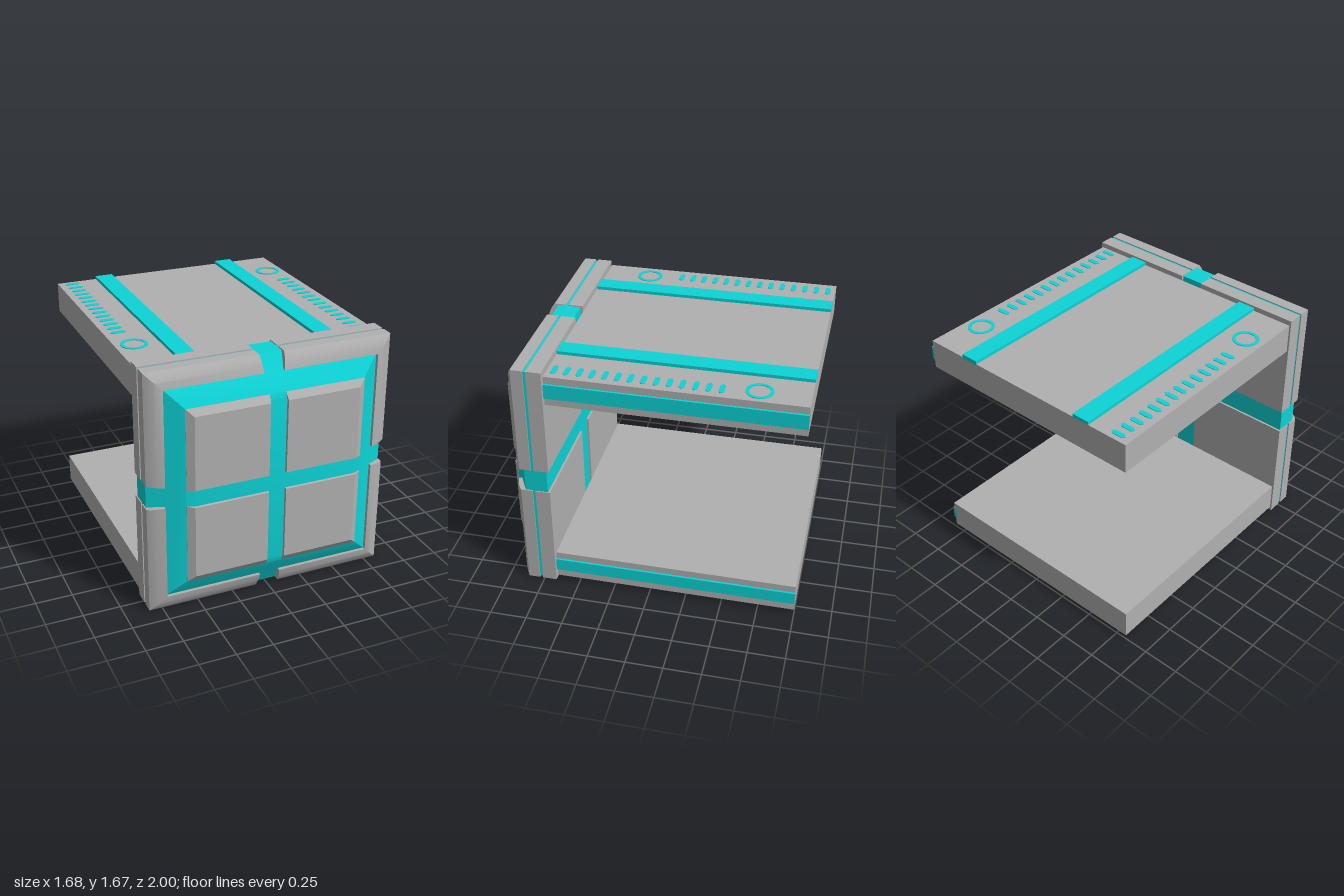
import * as THREE from 'three';
import { toCreasedNormals } from 'three/addons/utils/BufferGeometryUtils.js';

const grey = new THREE.MeshStandardMaterial({ color: 0xb0b0b0 });
grey.name = 'grey';
const cyan = new THREE.MeshStandardMaterial({ color: 0x0dd3d6 });
cyan.name = 'cyan';

const MID = 0.8425;   // height of the panel centre
const HALF = 0.8375;  // half width of the panel

function add(parent, name, geometry, material) {
  const mesh = new THREE.Mesh(geometry, material);
  mesh.name = name;
  parent.add(mesh);
  return mesh;
}

// Box given by its lower and upper corners
function box(parent, name, a, b, material) {
  const mesh = add(parent, name, new THREE.BoxGeometry(b[0] - a[0], b[1] - a[1], b[2] - a[2]), material);
  mesh.position.set((a[0] + b[0]) / 2, (a[1] + b[1]) / 2, (a[2] + b[2]) / 2);
  return mesh;
}

// Closed solid through a list of cross-section loops
function loft(stations) {
  const pos = [];
  const tri = (a, b, c) => pos.push(...a, ...b, ...c);
  const n = stations[0].length;
  for (let s = 0; s < stations.length - 1; s++) {
    for (let i = 0; i < n; i++) {
      const j = (i + 1) % n, A = stations[s], B = stations[s + 1];
      tri(A[i], B[i], B[j]);
      tri(A[i], B[j], A[j]);
    }
  }
  const first = stations[0], last = stations[stations.length - 1];
  for (let i = 1; i < n - 1; i++) {
    tri(first[0], first[i], first[i + 1]);
    tri(last[0], last[i + 1], last[i]);
  }
  const g = new THREE.BufferGeometry();
  g.setAttribute('position', new THREE.Float32BufferAttribute(pos, 3));
  return toCreasedNormals(g, 0.5);
}

// Square loop spanning lo..hi at depth z
const square = (lo, hi, z) => [[lo, lo, z], [lo, hi, z], [hi, hi, z], [hi, lo, z]];

// Flat detail lying on the top slab
function decal(parent, name, shape, x, z) {
  const g = new THREE.ExtrudeGeometry(shape, { depth: 0.005, bevelEnabled: false, curveSegments: 32 });
  g.rotateX(-Math.PI / 2);
  add(parent, name, g, cyan).position.set(x, 1.649, z);
}

function buildPanel() {
  const panel = new THREE.Group();
  panel.name = 'frontPanel';
  panel.position.y = MID;

  // Cyan core that shows in all the channels
  const core = [[0.83, 0.68], [0.83, 0.835], [0.785, 0.86], [0.73, 0.89], [0.61, 0.965], [0.56, 0.983]];
  add(panel, 'core', loft(core.map(([r, z]) => square(-r, r, z))), cyan);

  // Frame section: distance from centre, depth, end gap
  const section = [
    [0.7275, 0.785, 0.07], [HALF, 0.785, 0.083], [HALF, 0.865, 0.083],
    [0.812, 0.884, 0.08], [0.775, 0.902, 0.076], [0.7275, 0.915, 0.07],
  ];
  const frameGeometry = loft([
    section.map(([r, z, g]) => [r, g, z]),
    section.map(([r, z]) => [r, r, z]),
    section.map(([r, z, g]) => [g, r, z]),
  ]);
  const tileGeometry = loft([
    square(0.055, 0.608, 0.95), square(0.055, 0.608, 0.968), square(0.06, 0.562, 1),
  ]);

  // Four identical quarters turned about the centre
  for (let q = 0; q < 4; q++) {
    const quarter = new THREE.Group();
    quarter.name = 'panelQuarter' + (q + 1);
    quarter.rotation.z = q * Math.PI / 2;
    box(quarter, 'backPlate', [0.083, 0.083, 0.665], [HALF, HALF, 0.765], grey);
    add(quarter, 'cornerFrame', frameGeometry, grey);
    add(quarter, 'frontTile', tileGeometry, grey);
    panel.add(quarter);
  }
  return panel;
}

export function createModel() {
  const model = new THREE.Group();
  model.name = 'model';
  model.add(buildPanel());

  // Slabs, each with a stripe on the left edge
  const slabs = [['topSlab', 1.445, 1.65, 1.5, 1.6], ['bottomSlab', 0.038, 0.24, 0.1, 0.19]];
  for (const [name, y0, y1, s0, s1] of slabs) {
    box(model, name, [-0.83, y0, -1], [0.823, y1, 0.657], grey);
    box(model, name + 'Stripe', [0.81, s0, -1], [0.838, s1, 0.657], cyan);
  }

  // Raised rails on the top slab
  for (const x of [-0.48, 0.472]) {
    box(model, 'topRail', [x - 0.062, 1.64, -1], [x + 0.062, 1.672, 0.657], cyan);
  }

  // Rows of dashes and a ring on each side
  const dash = new THREE.Shape([
    [-0.053, 0], [-0.036, -0.017], [0.036, -0.017], [0.053, 0], [0.036, 0.017], [-0.036, 0.017],
  ].map(([x, y]) => new THREE.Vector2(x, y)));
  const ring = new THREE.Shape().absarc(0, 0, 0.088, 0, Math.PI * 2);
  ring.holes.push(new THREE.Path().absarc(0, 0, 0.066, 0, Math.PI * 2, true));
  for (let i = 0; i < 14; i++) {
    decal(model, 'rightDash', dash, -0.732, -0.948 + i * 0.081);
    decal(model, 'leftDash', dash, 0.728, -0.453 + i * 0.0818);
  }
  decal(model, 'rightRing', ring, -0.705, 0.338);
  decal(model, 'leftRing', ring, 0.705, -0.68);

  return model;
}
